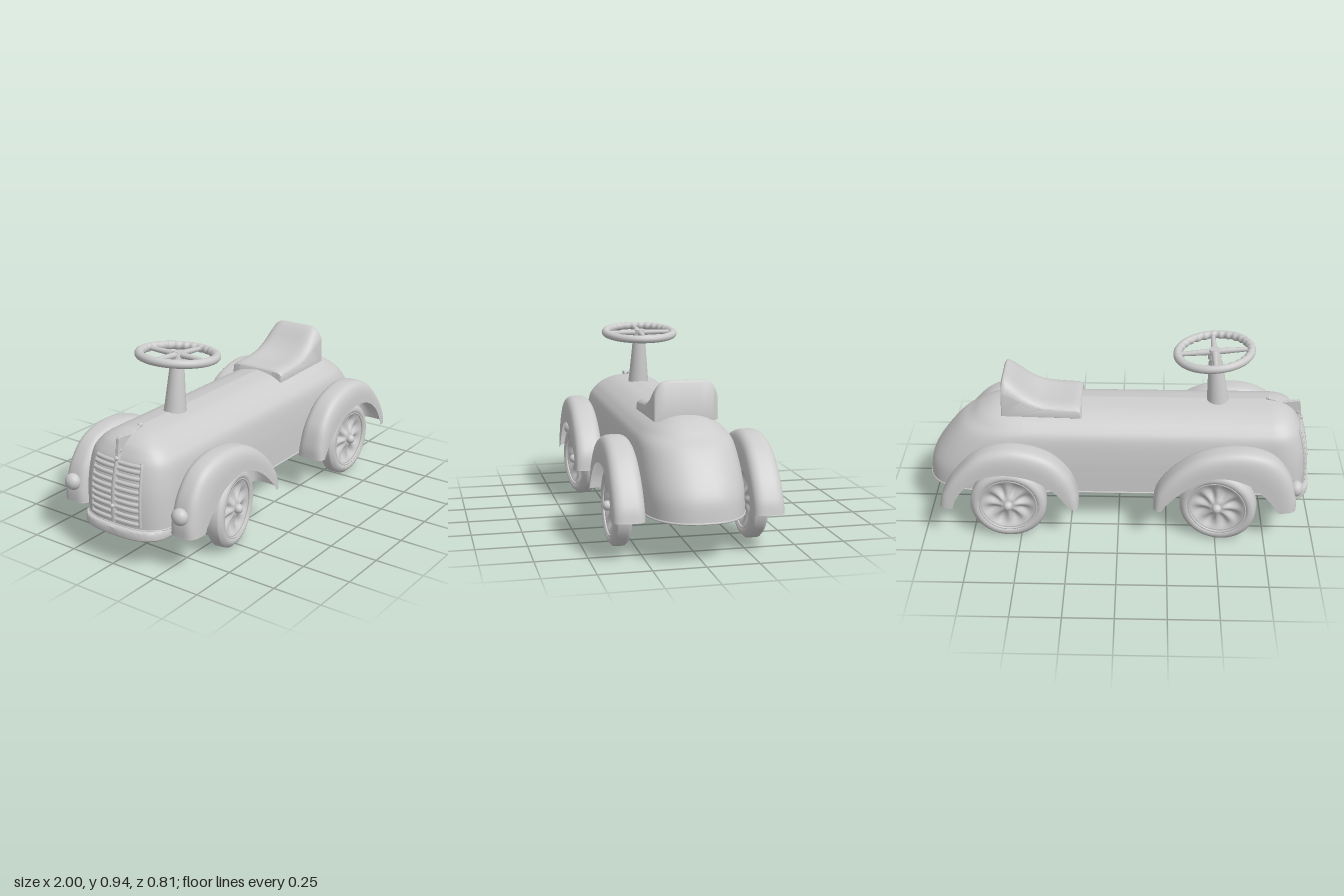
import * as THREE from 'three';
import { mergeVertices, toCreasedNormals } from 'three/addons/utils/BufferGeometryUtils.js';
import { ParametricGeometry } from 'three/addons/geometries/ParametricGeometry.js';

const mat = new THREE.MeshStandardMaterial({ color: 0xcccccc, side: THREE.DoubleSide });
const V2 = (p) => new THREE.Vector2(p[0], p[1]);
const V3 = (x, y, z) => new THREE.Vector3(x, y, z);
const spow = (v, e) => Math.sign(v) * Math.abs(v) ** e;

function add(parent, name, geo, x = 0, y = 0, z = 0) {
  const m = new THREE.Mesh(geo, mat);
  m.name = name;
  m.position.set(x, y, z);
  parent.add(m);
  return m;
}

// Smooth surface from a rule; seams are welded
function surface(fn, nu, nv) {
  let g = new ParametricGeometry((u, v, t) => t.copy(fn(u, v)), nu, nv);
  g.deleteAttribute('uv');
  g.deleteAttribute('normal');
  g = mergeVertices(g, 1e-4);
  g.computeVertexNormals();
  return g;
}

// Body levels from bottom to crown: height, half width, nose x, tail x
const levels = [
  [0.20, 0.246, -0.975, 1.0], [0.30, 0.246, -0.975, 0.985], [0.40, 0.243, -0.965, 0.925],
  [0.50, 0.23, -0.94, 0.84], [0.55, 0.198, -0.915, 0.77], [0.585, 0.155, -0.885, 0.72],
  [0.615, 0.09, -0.83, 0.65], [0.63, 0, -0.75, 0.56],
];
const levelYW = new THREE.SplineCurve(levels.map((l) => V2([l[0], l[1]])));
const levelX = new THREE.SplineCurve(levels.map((l) => V2([l[2], l[3]])));

// Point on the body at level t and angle a (0 = tail, PI = nose)
function bodyPoint(t, a) {
  const yw = levelYW.getPoint(t), xs = levelX.getPoint(t);
  const w = Math.max(0, yw.y), k = w / 0.246, c = Math.cos(a), s = Math.sin(a);
  if (c >= 0) return V3(xs.y - 0.35 * k * (1 - spow(c, 0.8)), yw.x, -w * spow(s, 0.8));
  return V3(xs.x + 0.2 * k * (1 + spow(c, 0.67)), yw.x, -w * spow(s, 0.67));
}

// Grille slats, frame and centre strip lying on the nose
function buildGrille(parent) {
  const g = new THREE.Group();
  g.name = 'grille';
  const rail = (name, fn, r) => {
    const pts = Array.from({ length: 13 }, (_, i) => fn(i / 12));
    add(g, name, new THREE.TubeGeometry(new THREE.CatmullRomCurve3(pts), 24, r, 8));
  };
  for (let i = 0; i < 10; i++) {
    const t = 0.05 + i * 0.043;
    rail('grilleSlat', (f) => bodyPoint(t, Math.PI + (f - 0.5) * 0.9), 0.011);
  }
  for (const d of [-0.47, 0.47]) rail('grilleFrame', (f) => bodyPoint(0.03 + f * 0.44, Math.PI + d), 0.008);
  rail('grilleStrip', (f) => bodyPoint(0.03 + f * 0.5, Math.PI), 0.014);
  for (const t of [0.14, 0.48, 0.6]) {
    const p = bodyPoint(t, Math.PI);
    add(g, 'grilleStud', new THREE.SphereGeometry(0.012, 12, 8), p.x - 0.012, p.y, 0);
  }
  parent.add(g);
}

// Thin fin running from the grille over the hood
function buildOrnament(parent) {
  const fin = new THREE.Shape([[-0.945, 0.5], [-0.93, 0.615], [-0.925, 0.622], [-0.84, 0.612],
    [-0.76, 0.638], [-0.76, 0.62], [-0.84, 0.59], [-0.905, 0.56], [-0.93, 0.5]].map(V2));
  add(parent, 'hoodOrnament', new THREE.ExtrudeGeometry(fin, {
    depth: 0.012, bevelSize: 0.003, bevelThickness: 0.003, bevelSegments: 2 }), 0, 0, -0.006);
  add(parent, 'hoodStud', new THREE.SphereGeometry(0.012, 12, 8), -0.77, 0.632, 0);
}

// Crescent bumper wrapped round the nose
function buildBumper(parent) {
  const arc = (x, dx, w) => Array.from({ length: 41 }, (_, i) => {
    const a = (i / 40 - 0.5) * Math.PI;
    return V2([x - dx * spow(Math.cos(a), 0.7), w * spow(Math.sin(a), 0.7)]);
  });
  const shape = new THREE.Shape([...arc(-0.83, 0.16, 0.23), ...arc(-0.83, 0.115, 0.195).reverse()]);
  const g = new THREE.ExtrudeGeometry(shape, {
    depth: 0.03, bevelSize: 0.01, bevelThickness: 0.01, bevelSegments: 4 });
  g.rotateX(Math.PI / 2);
  add(parent, 'bumper', toCreasedNormals(g, 0.8), 0, 0.19, 0);
}

// Saddle seat: side profile extruded across, corners rounded and middle dished
function buildSeat(parent) {
  const top = new THREE.SplineCurve([[0.195, 0.638], [0.22, 0.65], [0.32, 0.66], [0.4, 0.675],
    [0.47, 0.712], [0.54, 0.768], [0.582, 0.79], [0.596, 0.775]].map(V2)).getPoints(40);
  const shape = new THREE.Shape([V2([0.6, 0.595]), V2([0.19, 0.585]), ...top].reverse());
  const g = new THREE.ExtrudeGeometry(shape, { depth: 0.29, steps: 28,
    bevelSize: 0.006, bevelOffset: -0.006, bevelThickness: 0.01, bevelSegments: 3 });
  g.translate(0, 0, -0.145);
  const p = g.attributes.position;
  for (let i = 0; i < p.count; i++) {
    const q = Math.min(1, Math.abs(p.getZ(i)) / 0.155), h = p.getY(i) - 0.59;
    if (h <= 0.01) continue;
    const x = p.getX(i), dish = x > 0.22 && x < 0.56 ? 0.012 * (1 - q * q) * Math.sin((x - 0.22) / 0.34 * Math.PI) : 0;
    p.setY(i, 0.59 + h * (1 - 0.34 * q ** 7) - (h > 0.04 ? dish : 0));
  }
  add(parent, 'seat', toCreasedNormals(g, 0.7));
}

// Steering column and tilted wheel with finger grips
function buildSteering(parent) {
  const column = add(parent, 'steeringColumn', new THREE.LatheGeometry(
    [[0.058, -0.02], [0.053, 0.02], [0.036, 0.21], [0.03, 0.213], [0.028, 0.26]].map(V2), 32), -0.505, 0.63, 0);
  column.rotation.z = -0.09;
  const wheel = new THREE.Group();
  wheel.name = 'steeringWheel';
  wheel.position.set(-0.478, 0.9, 0);
  wheel.rotation.z = -0.1;
  const R = 0.187;
  add(wheel, 'steeringRim', surface((u, v) => {
    const a = u * Math.PI * 2, b = v * Math.PI * 2;
    const grip = 0.004 * Math.cos(28 * a) * Math.max(0, -Math.cos(b));
    const r = R + (0.021 + grip) * Math.cos(b);
    return V3(r * Math.cos(a), -(0.021 + grip) * Math.sin(b), -r * Math.sin(a));
  }, 168, 14));
  for (let i = 0; i < 4; i++) {
    const spoke = add(wheel, 'steeringSpoke', new THREE.CylinderGeometry(0.011, 0.017, R, 10).translate(0, R / 2, 0));
    spoke.rotation.set(Math.PI / 2, 0, i * Math.PI / 2, 'YXZ');
    spoke.rotation.set(Math.PI / 2, i * Math.PI / 2, 0, 'YXZ');
  }
  add(wheel, 'steeringHub', new THREE.CylinderGeometry(0.026, 0.036, 0.05, 24), 0, -0.008, 0);
  parent.add(wheel);
}

// Open-bottomed fender between an outer arc and the wheel arch
function fenderGeometry(outerPts, archPts) {
  const outer = new THREE.SplineCurve(outerPts.map(V2)), arch = new THREE.SplineCurve(archPts.map(V2));
  return surface((u, v) => {
    const a = v * Math.PI, p = arch.getPoint(u).lerp(outer.getPoint(u), Math.sin(a) ** 0.6);
    return V3(p.x, p.y, 0.33 + 0.077 * spow(Math.cos(a), 0.6));
  }, 48, 24);
}
const frontFender = fenderGeometry(
  [[-0.905, 0.195], [-0.9, 0.27], [-0.86, 0.39], [-0.77, 0.49], [-0.62, 0.53], [-0.44, 0.505], [-0.3, 0.42], [-0.2, 0.3], [-0.178, 0.195]],
  [[-0.81, 0.195], [-0.785, 0.235], [-0.74, 0.29], [-0.65, 0.365], [-0.52, 0.4], [-0.41, 0.37], [-0.32, 0.31], [-0.25, 0.24], [-0.22, 0.195]]);
const rearFender = fenderGeometry(
  [[0.2, 0.195], [0.207, 0.27], [0.25, 0.38], [0.36, 0.485], [0.54, 0.53], [0.7, 0.49], [0.82, 0.38], [0.89, 0.27], [0.91, 0.195]],
  [[0.24, 0.195], [0.27, 0.24], [0.32, 0.3], [0.42, 0.37], [0.56, 0.4], [0.68, 0.38], [0.77, 0.32], [0.82, 0.25], [0.84, 0.195]]);

// Wheel with rounded tyre, lobed dish and hub cap
function buildWheel(parent, name, x, steer) {
  const w = new THREE.Group();
  w.name = name;
  w.position.set(x, 0.195, 0.33);
  w.rotation.y = steer;
  const lathe = (pts, n) => new THREE.LatheGeometry(pts.map(V2), n).rotateX(Math.PI / 2);
  add(w, 'tyre', lathe([[0.143, -0.03], [0.15, -0.042], [0.165, -0.046], [0.18, -0.04], [0.189, -0.029], [0.195, -0.024],
    [0.195, 0.024], [0.189, 0.029], [0.18, 0.04], [0.165, 0.046], [0.15, 0.042], [0.143, 0.03]], 64));
  const face = [[0, 0.034], [0.03, 0.034], [0.045, 0.028], [0.06, 0.02], [0.08, 0.015], [0.1, 0.015],
    [0.12, 0.021], [0.135, 0.032], [0.148, 0.036]];
  const dish = lathe([...face.map(([r, h]) => [r, -h]), ...face.slice().reverse()], 80);
  const p = dish.attributes.position;
  for (let i = 0; i < p.count; i++) {
    const px = p.getX(i), py = p.getY(i), z = p.getZ(i), r = Math.hypot(px, py);
    if (r > 0.035 && r < 0.13) {
      const bump = Math.sin((r - 0.035) / 0.095 * Math.PI);
      p.setZ(i, z + Math.sign(z) * 0.009 * bump * Math.cos(8 * Math.atan2(py, px)));
    }
  }
  dish.computeVertexNormals();
  add(w, 'wheelDish', dish);
  for (const s of [-1, 1]) add(w, 'wheelRim', new THREE.TorusGeometry(0.146, 0.006, 8, 64), 0, 0, s * 0.037);
  add(w, 'hubCap', new THREE.SphereGeometry(0.024, 20, 14), 0, 0, 0.044);
  add(w, 'axleStub', new THREE.CylinderGeometry(0.012, 0.012, 0.09, 12).rotateX(Math.PI / 2), 0, 0, -0.05);
  parent.add(w);
}

export function createModel() {
  const model = new THREE.Group();
  model.name = 'rideOnCar';
  add(model, 'body', surface((u, v) => bodyPoint(v, u * Math.PI * 2), 96, 42));
  // Rolled lower edge of the body shell
  const edge = Array.from({ length: 96 }, (_, i) => bodyPoint(0, i / 96 * Math.PI * 2));
  add(model, 'bodyEdge', new THREE.TubeGeometry(new THREE.CatmullRomCurve3(edge, true), 160, 0.005, 6, true));
  buildGrille(model);
  buildOrnament(model);
  buildBumper(model);
  buildSeat(model);
  buildSteering(model);
  // Fenders, lamps and wheels on both sides
  for (const s of [1, -1]) {
    const side = new THREE.Group();
    side.name = s > 0 ? 'leftSide' : 'rightSide';
    side.scale.z = s;
    add(side, 'frontFender', frontFender);
    add(side, 'rearFender', rearFender);
    add(side, 'headlamp', new THREE.SphereGeometry(0.042, 24, 16).scale(0.85, 1, 1), -0.9, 0.3, 0.33);
    buildWheel(side, 'frontWheel', -0.51, 0.18);
    buildWheel(side, 'rearWheel', 0.56, 0);
    model.add(side);
  }
  return model;
}
